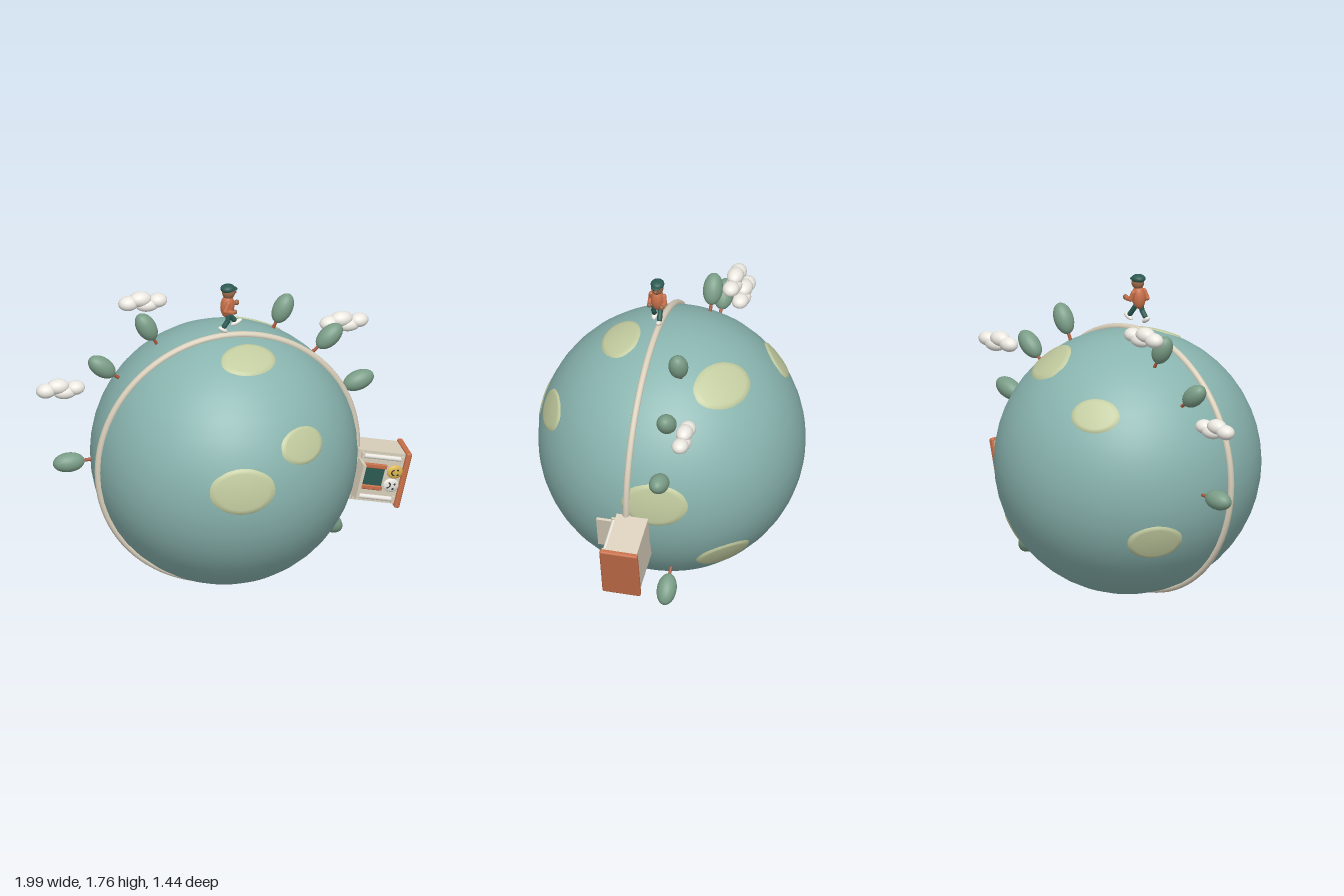
import * as THREE from 'three';
import { RoundedBoxGeometry } from 'three/addons/geometries/RoundedBoxGeometry.js';

const CX = -0.01, CY = 0.736, R = 0.715;

const paint = (color, side = THREE.FrontSide) =>
  new THREE.MeshStandardMaterial({ color, side });
const teal = paint(0x8ab5b0), land = paint(0xc3cca0, THREE.DoubleSide), cream = paint(0xd9cfbb);
const leaf = paint(0x7a9d87), bark = paint(0xa9583a), white = paint(0xebe8e1);
const orange = paint(0xc8704a), green = paint(0x2c5a52), skin = paint(0x9a6848);
const gold = paint(0xe0b850), dark = paint(0x2c302f);

function add(parent, name, geometry, material, x = 0, y = 0, z = 0) {
  const mesh = new THREE.Mesh(geometry, material);
  mesh.name = name;
  mesh.position.set(x, y, z);
  parent.add(mesh);
  return mesh;
}

function group(parent, name, x = 0, y = 0, z = 0) {
  const g = new THREE.Group();
  g.name = name;
  g.position.set(x, y, z);
  parent.add(g);
  return g;
}

function ellipsoid(parent, name, material, [x, y, z], [rx, ry, rz], seg = 24) {
  const mesh = add(parent, name, new THREE.SphereGeometry(1, seg, 16), material, x, y, z);
  mesh.scale.set(rx, ry, rz);
  return mesh;
}

// Capsules joining successive points
function limb(parent, name, material, radius, points) {
  const p = points.map((a) => new THREE.Vector3(...a));
  for (let i = 1; i < p.length; i++) {
    const dir = p[i].clone().sub(p[i - 1]);
    const mesh = add(parent, name, new THREE.CapsuleGeometry(radius, dir.length(), 5, 12), material);
    mesh.position.copy(p[i]).add(p[i - 1]).multiplyScalar(0.5);
    mesh.quaternion.setFromUnitVectors(new THREE.Vector3(0, 1, 0), dir.normalize());
  }
}

// Elliptical patch laid over the globe, long axis level, rim sunk into the surface
function landPatch(parent, dir, a, b) {
  const n = new THREE.Vector3(...dir).normalize();
  const u = new THREE.Vector3(0, 1, 0).cross(n).normalize();
  const v = n.clone().cross(u);
  const geo = new THREE.RingGeometry(0.001, 1, 48, 8);
  const pos = geo.attributes.position, p = new THREE.Vector3();
  for (let i = 0; i < pos.count; i++) {
    const x = pos.getX(i) * a, y = pos.getY(i) * b;
    const rim = Math.hypot(pos.getX(i), pos.getY(i)) > 0.99;
    const h = Math.sqrt(R * R - x * x - y * y);
    p.copy(n).multiplyScalar(h).addScaledVector(u, x).addScaledVector(v, y);
    p.setLength(rim ? R - 0.006 : R + 0.006);
    pos.setXYZ(i, p.x, p.y, p.z);
  }
  geo.computeVertexNormals();
  add(parent, 'landPatch', geo, land, CX, CY, 0);
}

function tree(parent, degrees) {
  const g = group(parent, 'tree', CX, CY, -0.126);
  g.rotation.z = THREE.MathUtils.degToRad(degrees - 90);
  add(g, 'trunk', new THREE.CylinderGeometry(0.008, 0.01, 0.1, 10), bark, 0, 0.72, 0);
  ellipsoid(g, 'crown', leaf, [0, 0.824, 0], [0.053, 0.087, 0.053]);
}

function cloud(parent, x, y, z) {
  const g = group(parent, 'cloud', x, y, z);
  const lobes = [[-0.08, 0, 0.055, 0.04], [-0.015, 0.018, 0.062, 0.041],
    [0.025, -0.018, 0.065, 0.038], [0.082, 0, 0.052, 0.038]];
  for (const [lx, ly, rx, ry] of lobes) ellipsoid(g, 'cloudLobe', white, [lx, ly, 0], [rx, ry, 0.045]);
}

// Theatre mask: domed disc with eyes and a curved mouth
function mask(parent, material, x, y, tilt, happy) {
  const g = group(parent, 'mask', x, y, 0.137);
  g.rotation.z = tilt;
  ellipsoid(g, 'maskFace', material, [0, 0, 0], [0.039, 0.044, 0.014]);
  for (const s of [-1, 1]) ellipsoid(g, 'maskEye', dark, [s * 0.014, 0.012, 0.013], [0.006, 0.005, 0.005], 12);
  const mouth = add(g, 'maskMouth', new THREE.TorusGeometry(0.015, 0.0035, 8, 16, Math.PI), dark,
    0, happy ? -0.006 : -0.024, 0.013);
  if (happy) mouth.rotation.z = Math.PI;
}

// Small theatre standing outward from the globe's left side
function theatre(parent) {
  const g = group(parent, 'theatre', CX, CY, 0);
  g.rotation.z = -0.237 - Math.PI / 2;
  add(g, 'theatreBody', new THREE.BoxGeometry(0.29, 0.27, 0.175), cream, 0, 0.835, 0.0375);
  add(g, 'roof', new RoundedBoxGeometry(0.32, 0.03, 0.21, 3, 0.01), orange, 0, 0.982, 0.045);
  add(g, 'porch', new THREE.BoxGeometry(0.2, 0.016, 0.12), cream, 0, 0.716, 0.175);
  add(g, 'doorway', new THREE.BoxGeometry(0.11, 0.14, 0.01), green, 0, 0.8, 0.126);
  for (const s of [-1, 1]) {
    add(g, 'curtain', new RoundedBoxGeometry(0.026, 0.15, 0.018, 2, 0.006), orange, s * 0.062, 0.803, 0.13);
    add(g, 'column', new THREE.CylinderGeometry(0.013, 0.013, 0.22, 16), white, s * 0.117, 0.837, 0.132);
    add(g, 'columnBase', new THREE.BoxGeometry(0.034, 0.014, 0.03), cream, s * 0.117, 0.727, 0.132);
    add(g, 'columnCapital', new THREE.BoxGeometry(0.034, 0.014, 0.03), cream, s * 0.117, 0.95, 0.132);
  }
  mask(g, gold, -0.043, 0.926, 0.15, true);
  mask(g, white, 0.036, 0.922, -0.15, false);
}

// Walker striding towards +x on top of the track
function walker(parent) {
  const g = group(parent, 'walker', -0.008, 0, 0.08);
  ellipsoid(g, 'head', skin, [0.003, 1.71, 0], [0.036, 0.038, 0.033]);
  ellipsoid(g, 'nose', skin, [0.04, 1.706, 0], [0.008, 0.007, 0.007], 12);
  ellipsoid(g, 'cap', green, [-0.002, 1.733, 0], [0.04, 0.023, 0.037]);
  ellipsoid(g, 'capBrim', green, [0.025, 1.728, 0], [0.026, 0.007, 0.028]);
  for (const s of [-1, 1]) ellipsoid(g, 'eye', dark, [0.034, 1.714, s * 0.012], [0.004, 0.005, 0.004], 10);
  const torso = ellipsoid(g, 'torso', orange, [-0.004, 1.63, 0], [0.038, 0.066, 0.036]);
  torso.rotation.z = -0.08;
  // near arm, far arm
  limb(g, 'arm', orange, 0.013, [[-0.008, 1.66, 0.036], [-0.026, 1.62, 0.043], [0.01, 1.606, 0.04]]);
  limb(g, 'arm', orange, 0.013, [[0.0, 1.66, -0.036], [0.012, 1.622, -0.043], [0.042, 1.622, -0.04]]);
  ellipsoid(g, 'hand', skin, [0.026, 1.607, 0.038], [0.014, 0.013, 0.013], 14);
  ellipsoid(g, 'hand', skin, [0.058, 1.625, -0.038], [0.014, 0.015, 0.013], 14);
  // trailing leg, leading leg
  limb(g, 'leg', green, 0.014, [[-0.002, 1.583, 0.018], [-0.008, 1.55, 0.022], [-0.028, 1.523, 0.024]]);
  limb(g, 'leg', green, 0.014, [[0.002, 1.583, -0.018], [0.022, 1.555, -0.02], [0.04, 1.532, -0.022]]);
  ellipsoid(g, 'shoe', white, [-0.035, 1.504, 0.024], [0.03, 0.013, 0.016], 16).rotation.z = -0.6;
  ellipsoid(g, 'shoe', white, [0.052, 1.517, -0.022], [0.034, 0.013, 0.016], 16).rotation.z = 0.45;
}

export function createModel() {
  const model = new THREE.Group();
  model.name = 'littlePlanet';

  add(model, 'globe', new THREE.SphereGeometry(R, 64, 24), teal, CX, CY, 0);
  add(model, 'ringTrack', new THREE.TorusGeometry(0.717, 0.018, 12, 96), cream, CX, 0.735, 0.073);

  // direction from the globe's centre, half length, half height
  const patches = [
    [[-0.085, 0.085, 0.7], 0.187, 0.135], [[0.27, 0.265, 0.585], 0.147, 0.106],
    [[0.065, 0.65, 0.265], 0.165, 0.12], [[0.705, 0.055, -0.08], 0.187, 0.135],
    [[0.24, 0.57, -0.34], 0.19, 0.135], [[0.454, -0.38, -0.4], 0.165, 0.115],
    [[-0.275, 0.41, -0.51], 0.142, 0.102], [[-0.56, -0.27, -0.34], 0.158, 0.112],
  ];
  for (const [dir, a, b] of patches) landPatch(model, dir, a, b);

  for (const deg of [118.6, 141, 181.5, 64, 41.3, 18.7, -41.6]) tree(model, deg);

  cloud(model, -0.39, 1.55, -0.25);
  cloud(model, -0.865, 1.125, -0.18);
  cloud(model, 0.725, 1.295, -0.25);

  theatre(model);
  walker(model);
  return model;
}
